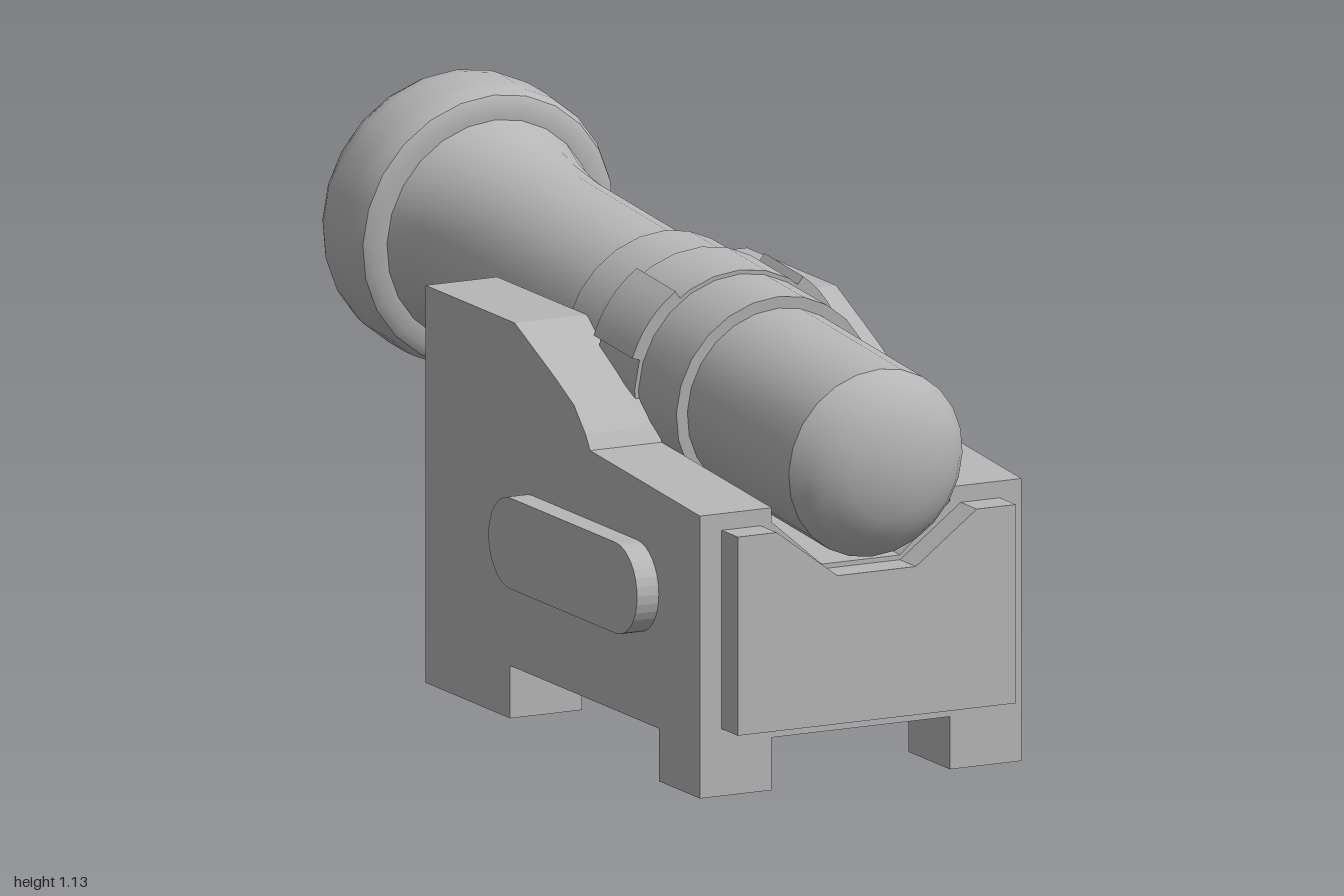
import * as THREE from 'three';
import { toCreasedNormals } from 'three/addons/utils/BufferGeometryUtils.js';

const TILT = 0.085; // barrel elevation, radians

const shapeOf = (pts) => new THREE.Shape(pts.map(([x, y]) => new THREE.Vector2(x, y)));
const extrude = (shape, depth, curveSegments = 6) =>
  new THREE.ExtrudeGeometry(shape, { depth, bevelEnabled: false, curveSegments });

export function createModel() {
  const model = new THREE.Group();
  const grey = new THREE.MeshStandardMaterial({ color: 0xb6b6b6 });
  grey.name = 'grey';

  const add = (parent, name, geometry) => {
    const mesh = new THREE.Mesh(geometry, grey);
    mesh.name = name;
    parent.add(mesh);
    return mesh;
  };
  const lathe = (pts) => toCreasedNormals(
    new THREE.LatheGeometry(pts.map(([r, s]) => new THREE.Vector2(r, s)), 24), 0.62);

  // Carriage
  const carriage = new THREE.Group();
  carriage.name = 'carriage';
  model.add(carriage);

  // Side cheeks with feet: profile as (z, y), extruded across x
  const cheekShape = shapeOf([
    [-0.35, 0], [0.02, 0], [0.02, 0.11], [0.67, 0.11], [0.67, 0], [0.85, 0],
    [0.85, 0.59], [0.37, 0.63], [0.35, 0.66], [0.3, 0.71], [0.22, 0.75],
    [0.04, 0.83], [-0.35, 0.83],
  ]);
  // Rounded side panel, also (z, y)
  const panelShape = new THREE.Shape();
  panelShape.absarc(0.575, 0.39, 0.095, -Math.PI / 2, Math.PI / 2, false);
  panelShape.absarc(0.115, 0.39, 0.095, Math.PI / 2, Math.PI * 1.5, false);

  for (const [side, sign] of [['left', 1], ['right', -1]]) {
    const cheek = extrude(cheekShape, 0.165).rotateY(-Math.PI / 2);
    cheek.translate(sign > 0 ? 0.37 : -0.205, 0, 0);
    add(carriage, side + 'Cheek', cheek);

    const panel = extrude(panelShape, 0.06, 8).rotateY(-Math.PI / 2);
    panel.translate(sign > 0 ? 0.42 : -0.36, 0, 0);
    add(carriage, side + 'SidePanel', panel);
  }

  // Centre bed with a groove that rises along with the barrel
  const bed = extrude(shapeOf([
    [-0.205, 0.11], [0.205, 0.11], [0.205, 0.56], [0.09, 0.46], [-0.09, 0.46], [-0.205, 0.56],
  ]), 1.2).translate(0, 0, -0.35);
  const pos = bed.attributes.position;
  for (let i = 0; i < pos.count; i++) {
    if (pos.getY(i) > 0.3) pos.setY(i, pos.getY(i) + (0.85 - pos.getZ(i)) * TILT);
  }
  bed.computeVertexNormals();
  add(carriage, 'groovedBed', bed);

  // Front plate, notched under the breech
  add(carriage, 'frontPlate', extrude(shapeOf([
    [-0.32, 0.14], [0.32, 0.14], [0.32, 0.555], [0.23, 0.555],
    [0.09, 0.45], [-0.09, 0.45], [-0.23, 0.555], [-0.32, 0.555],
  ]), 0.08).translate(0, 0, 0.84));

  // Barrel: local y runs from breech to muzzle, local z is up
  const barrel = new THREE.Group();
  barrel.name = 'barrel';
  barrel.position.set(0, 0.675, 0.915);
  barrel.rotation.x = TILT - Math.PI / 2;
  model.add(barrel);

  // Domed breech, tube, flared muzzle and bore in one profile
  add(barrel, 'barrelTube', lathe([
    [0, -0.088], [0.05, -0.085], [0.1, -0.074], [0.145, -0.054], [0.178, -0.028], [0.2, 0],
    [0.2, 0.5], [0.197, 1.0], [0.197, 1.42], [0.204, 1.53], [0.216, 1.61], [0.238, 1.69],
    [0.27, 1.69], [0.288, 1.7], [0.298, 1.725], [0.3, 1.76], [0.3, 1.83], [0.296, 1.86],
    [0.284, 1.885], [0.262, 1.898], [0.235, 1.902], [0.2, 1.9],
    [0.192, 1.86], [0.178, 1.8], [0.155, 1.75], [0.12, 1.72], [0, 1.71],
  ]));

  // Reinforcing bands
  add(barrel, 'wideBand', lathe([[0.19, 0.445], [0.225, 0.445], [0.22, 0.945], [0.19, 0.945]]));
  add(barrel, 'clampRing', lathe([[0.2, 0.615], [0.232, 0.615], [0.232, 0.785], [0.2, 0.785]]));

  // Raised clamp blocks on both upper flanks
  const deg = Math.PI / 180;
  for (const [side, from] of [['left', 16], ['right', 126]]) {
    const block = new THREE.Shape();
    block.absarc(0, 0, 0.25, from * deg, (from + 38) * deg, false);
    block.absarc(0, 0, 0.2, (from + 38) * deg, from * deg, true);
    const geometry = extrude(block, 0.17, 3).rotateX(Math.PI / 2).translate(0, 0.785, 0);
    add(barrel, side + 'ClampBlock', toCreasedNormals(geometry, 0.5));
  }

  return model;
}
